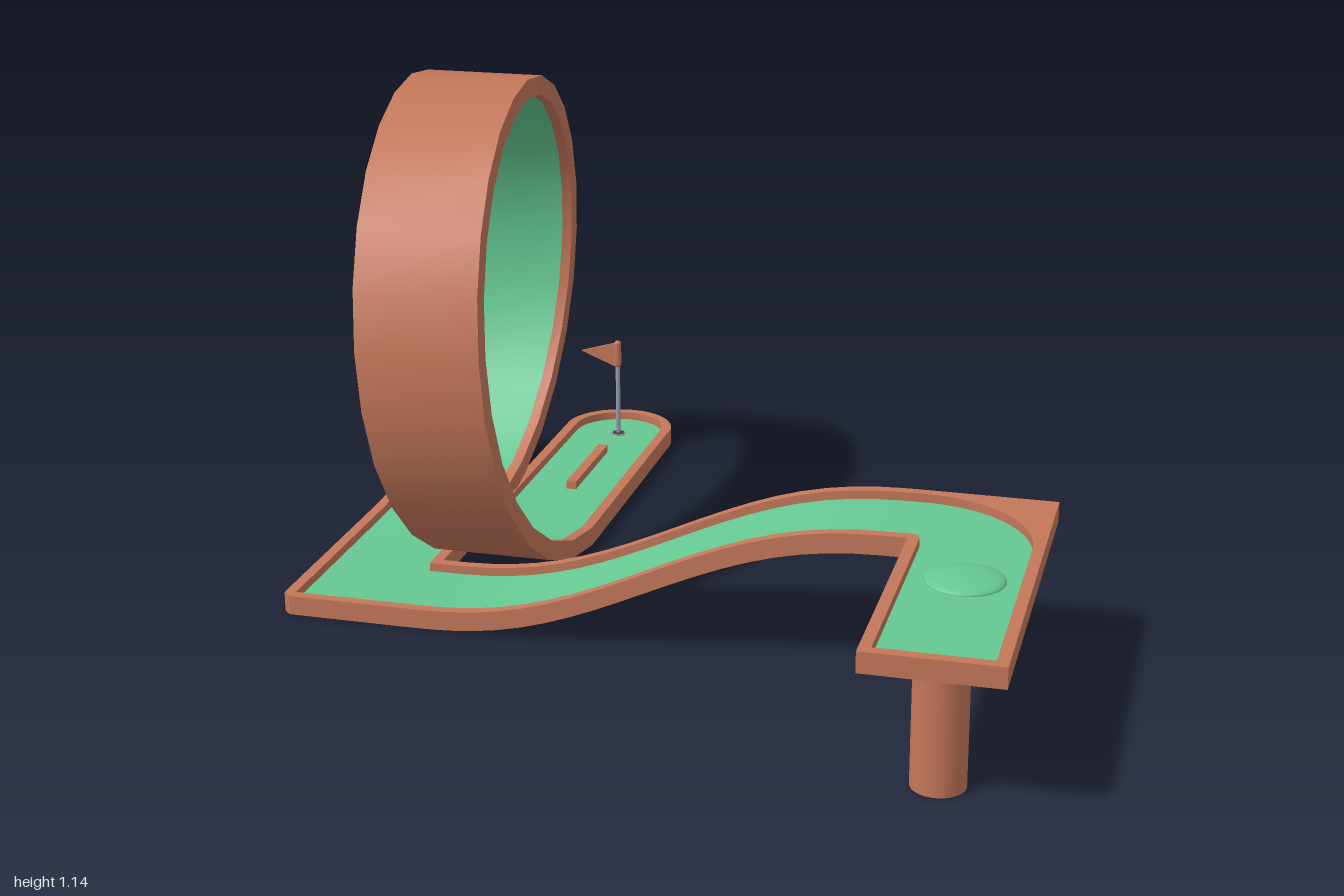
import * as THREE from 'three';
import { toCreasedNormals } from 'three/addons/utils/BufferGeometryUtils.js';

const W = 0.285, H = 0.045, T = 0.025, F = 0.025; // track width, wall height, wall thickness, floor level
const R = 0.57, LOOP_Z = -0.14, SEGMENTS = 26;

const mat = (name, color) => Object.assign(new THREE.MeshStandardMaterial({ color }), { name });
const v = (x, y, z) => new THREE.Vector3(x, y, z);

export function createModel() {
  const group = new THREE.Group();
  const wood = mat('terracotta wood', 0xc4775a);
  const turf = mat('green turf', 0x65c892);
  const metal = mat('grey metal', 0x9a9fae);
  const dark = mat('dark hole', 0x4a3a38);

  const add = (name, geometry, material, x = 0, y = 0, z = 0) => {
    const mesh = new THREE.Mesh(geometry, material);
    mesh.name = name;
    mesh.position.set(x, y, z);
    group.add(mesh);
    return mesh;
  };

  // Sweep a section of [across, up] points along frames { o, s, u }
  const sweep = (name, frames, section, material) => {
    const pos = [];
    const at = (f, [a, b]) => f.o.clone().addScaledVector(f.s, a).addScaledVector(f.u, b);
    for (let i = 0; i < frames.length - 1; i++) {
      for (let j = 0; j < section.length - 1; j++) {
        const p0 = at(frames[i], section[j]), p1 = at(frames[i], section[j + 1]);
        const q0 = at(frames[i + 1], section[j]), q1 = at(frames[i + 1], section[j + 1]);
        for (const p of [p0, p1, q1, p0, q1, q0]) pos.push(p.x, p.y, p.z);
      }
    }
    const g = new THREE.BufferGeometry();
    g.setAttribute('position', new THREE.Float32BufferAttribute(pos, 3));
    add(name, toCreasedNormals(g, 0.5), material);
  };
  const sweepTrack = (name, frames) => {
    sweep(name + 'Frame', frames,
      [[T, F], [T, H], [0, H], [0, 0], [W, 0], [W, H], [W - T, H], [W - T, F]], wood);
    sweep(name + 'Turf', frames, [[W - T, F], [T, F]], turf);
  };

  // Horizontal slab from an outline drawn in x and z
  const slab = (name, shape, y0, y1, material) => {
    const g = new THREE.ExtrudeGeometry(shape, { depth: y1 - y0, bevelEnabled: false, curveSegments: 16 });
    g.rotateX(Math.PI / 2);
    return add(name, g, material, 0, y1, 0);
  };
  const poly = (pts) => new THREE.Shape(pts.map(([x, z]) => new THREE.Vector2(x, z)));
  const rect = (x0, z0, x1, z1) => poly([[x0, z0], [x1, z0], [x1, z1], [x0, z1]]);

  // Lead-in, spiral loop and run-out as one continuous track
  const path = [];
  const left = v(-1, 0, 0), up = v(0, 1, 0);
  path.push({ o: v(-0.57, 0, 0.14), s: left, u: up });
  for (let i = 0; i <= SEGMENTS; i++) {
    const t = i / SEGMENTS, a = t * Math.PI * 2;
    path.push({
      o: v(-0.57 + t * W * 0.98, R - R * Math.cos(a), LOOP_Z - R * Math.sin(a)),
      s: left, u: v(0, Math.cos(a), Math.sin(a)),
    });
  }
  path.push({ o: v(-0.57 + W * 0.98, 0, -0.86), s: left, u: up });
  sweepTrack('loop', path);

  // S-curved ramp
  const ramp = [];
  for (let i = 0; i <= 20; i++) {
    const t = i / 20, e = t * t * t * (10 - 15 * t + 6 * t * t);
    ramp.push({ o: v(-0.57 + 1.14 * t, 0.285 * e, 0.425), s: v(0, 0, -1), u: up });
  }
  sweepTrack('ramp', ramp);

  // Lower corner
  const c = 0.018;
  slab('lowerCornerBase', poly([[-0.855, 0.14], [-0.57, 0.14], [-0.57, 0.425],
    [-0.855 + c, 0.425], [-0.855, 0.425 - c]]), 0, F - 0.005, wood);
  slab('lowerCornerTurf', rect(-0.84, 0.14, -0.57, 0.41), F - 0.005, F, turf);
  slab('lowerCornerRim', poly([[-0.855, 0.14], [-0.83, 0.14], [-0.83, 0.4], [-0.57, 0.4],
    [-0.57, 0.425], [-0.855 + c, 0.425], [-0.855, 0.425 - c]]), F - 0.005, H, wood);
  slab('lowerCornerPost', rect(-0.595, 0.14, -0.57, 0.165), F - 0.005, H, wood);

  // Raised start platform with a rounded bend
  const Y = 0.285;
  slab('platformBase', rect(0.57, 0.14, 0.855, 1), Y, Y + F - 0.005, wood);
  slab('platformTurf', rect(0.58, 0.15, 0.845, 0.99), Y + F - 0.005, Y + F, turf);
  slab('platformTurfJoin', rect(0.57, 0.165, 0.58, 0.4), Y + F - 0.005, Y + F, turf);
  const rim = new THREE.Shape();
  rim.moveTo(0.57, 0.14).lineTo(0.855, 0.14).lineTo(0.855, 1).lineTo(0.57, 1).lineTo(0.57, 0.4);
  rim.quadraticCurveTo(0.595, 0.4, 0.595, 0.425);
  rim.lineTo(0.595, 0.975).lineTo(0.83, 0.975).lineTo(0.83, 0.425);
  rim.absarc(0.57, 0.425, 0.26, 0, -Math.PI / 2, true);
  slab('platformRim', rim, Y + F - 0.005, Y + H, wood);
  for (const z of [0.29, 0.86])
    add('supportColumn', new THREE.CylinderGeometry(0.057, 0.057, Y, 20), wood, 0.7125, Y / 2, z);

  // Low turf bump
  const bump = add('turfBump', new THREE.SphereGeometry(0.085, 24, 8, 0, Math.PI * 2, 0, Math.PI / 2),
    turf, 0.7125, Y + F, 0.57);
  bump.scale.y = 0.2;

  // Rounded end of the run-out
  const ex = -0.57 + W * 0.98 - W / 2, ez = -0.86, er = W / 2;
  const half = (r) => new THREE.Shape().absarc(ex, ez, r, Math.PI, Math.PI * 2, false);
  slab('endBase', half(er), 0, F - 0.005, wood);
  slab('endTurf', half(er - 0.012), F - 0.005, F, turf);
  const endRim = new THREE.Shape();
  endRim.absarc(ex, ez, er, Math.PI, Math.PI * 2, false);
  endRim.absarc(ex, ez, er - T, Math.PI * 2, Math.PI, true);
  slab('endRim', endRim, F - 0.005, H, wood);

  // Divider on the run-out
  add('divider', new THREE.BoxGeometry(0.025, 0.03, 0.285), wood, ex, 0.03, -0.57);

  // Hole, pole and pennant
  add('holeRim', new THREE.CylinderGeometry(0.02, 0.02, 0.004, 20), metal, ex, F + 0.001, ez);
  add('hole', new THREE.CylinderGeometry(0.016, 0.016, 0.004, 20), dark, ex, F + 0.002, ez);
  add('flagPole', new THREE.CylinderGeometry(0.006, 0.006, 0.2, 10), metal, ex, 0.12, ez);
  add('flagSleeve', new THREE.CapsuleGeometry(0.01, 0.055, 4, 10), wood, ex, 0.2525, ez);
  const pennant = new THREE.ExtrudeGeometry(poly([[0, 0.215], [0, 0.285], [-0.1, 0.255]]),
    { depth: 0.008, bevelEnabled: false });
  add('pennant', pennant, wood, ex, 0, ez - 0.004);

  return group;
}
